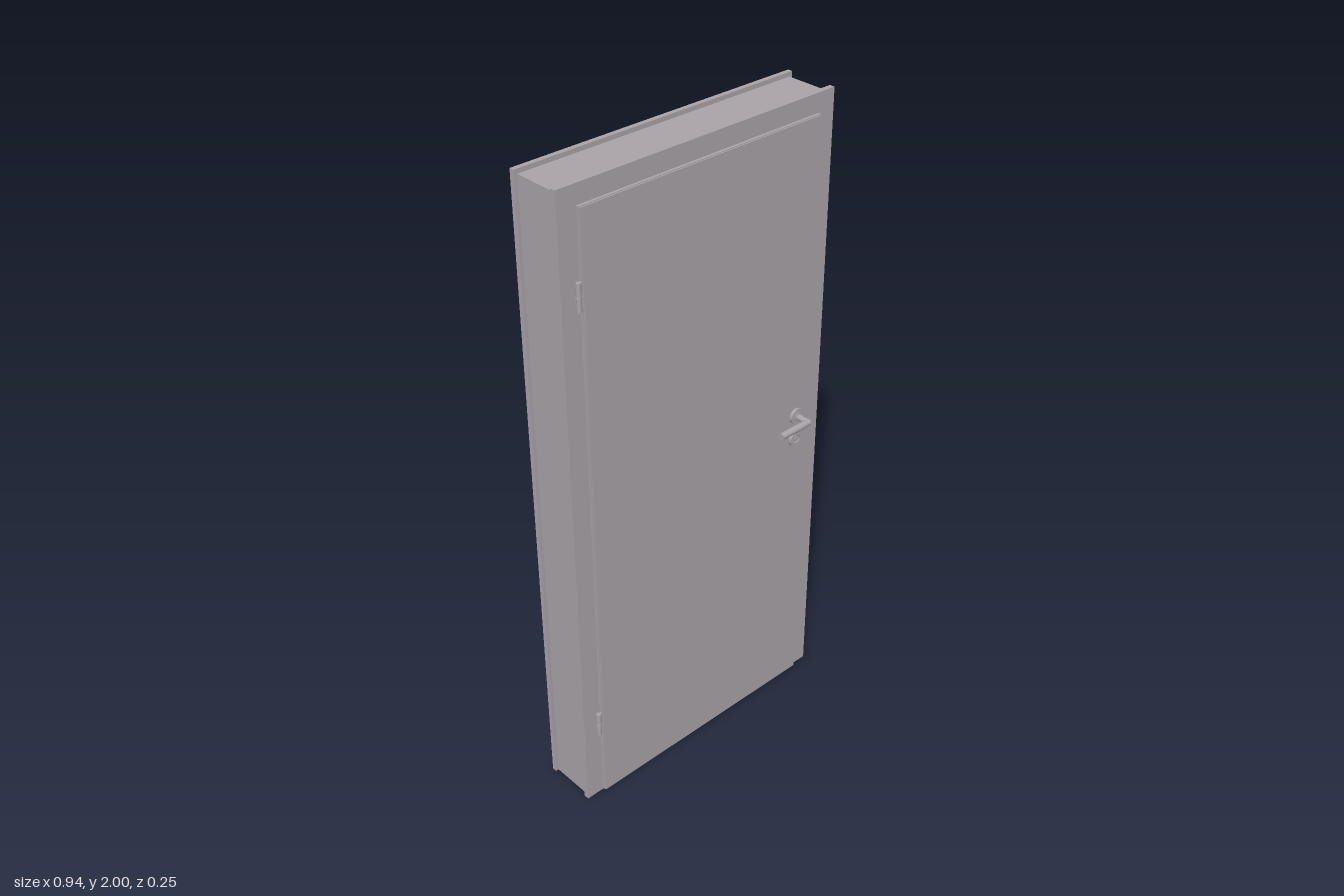
import * as THREE from 'three';

const grey = new THREE.MeshStandardMaterial({ color: 0xaaa3a7 });
grey.name = 'warm grey';

function add(parent, name, geometry, x = 0, y = 0, z = 0) {
  const mesh = new THREE.Mesh(geometry, grey);
  mesh.name = name;
  mesh.position.set(x, y, z);
  parent.add(mesh);
  return mesh;
}

// U-shaped slab (two posts and a head), open at the floor
function archSlab(xo, yo, xi, yi, z0, z1) {
  const s = new THREE.Shape([
    [-xo, 0], [-xi, 0], [-xi, yi], [xi, yi], [xi, 0], [xo, 0], [xo, yo], [-xo, yo],
  ].map(([x, y]) => new THREE.Vector2(x, y)));
  return new THREE.ExtrudeGeometry(s, { depth: z1 - z0, bevelEnabled: false }).translate(0, 0, z0);
}

function slab(x0, x1, y0, y1, z0, z1) {
  return new THREE.BoxGeometry(x1 - x0, y1 - y0, z1 - z0)
    .translate((x0 + x1) / 2, (y0 + y1) / 2, (z0 + z1) / 2);
}

// Cylinder along z, from z0 to z1
function rod(r, z0, z1) {
  return new THREE.CylinderGeometry(r, r, z1 - z0, 32).rotateX(Math.PI / 2).translate(0, 0, (z0 + z1) / 2);
}

// Lever and key rosettes for one face, with that face at z = 0 and pointing to +z
function makeFittings(name) {
  const g = new THREE.Group();
  g.name = name;
  const x = 0.36, y = 1.025, reach = 0.052;
  add(g, 'leverRosette', rod(0.025, 0, 0.01), x, y);
  add(g, 'leverCollar', rod(0.015, 0.01, 0.013), x, y);
  add(g, 'leverNeck', rod(0.0095, 0.01, reach), x, y);
  add(g, 'leverElbow', new THREE.SphereGeometry(0.0095, 24, 16), x, y, reach);
  add(g, 'leverShank', new THREE.CylinderGeometry(0.0095, 0.0095, 0.03, 32).rotateZ(Math.PI / 2), x - 0.012, y, reach);
  add(g, 'leverGrip', new THREE.CylinderGeometry(0.011, 0.011, 0.09, 32).rotateZ(Math.PI / 2), 0.293, y, reach);

  // Key rosette: ring around a recessed lock cylinder
  const ring = new THREE.Shape().absarc(0, 0, 0.025, 0, Math.PI * 2);
  ring.holes.push(new THREE.Path().absarc(0, 0, 0.012, 0, Math.PI * 2, true));
  add(g, 'keyRosette', new THREE.ExtrudeGeometry(ring, { depth: 0.01, bevelEnabled: false, curveSegments: 24 }), x, 0.945);
  add(g, 'lockCylinder', rod(0.008, 0, 0.009), x, 0.945);
  add(g, 'keySlot', new THREE.BoxGeometry(0.002, 0.009, 0.002), x, 0.945, 0.0095);
  return g;
}

export function createModel() {
  const model = new THREE.Group();
  model.name = 'door';

  // Frame: two face trims, a lining between them and a rebate for the leaf
  const frame = new THREE.Group();
  frame.name = 'frame';
  model.add(frame);
  add(frame, 'frontTrim', archSlab(0.47, 2, 0.405, 1.937, 0.028, 0.045));
  add(frame, 'backTrim', archSlab(0.47, 2, 0.4, 1.93, -0.125, -0.11));
  add(frame, 'lining', archSlab(0.46, 1.987, 0.4, 1.93, -0.11, 0.014));
  add(frame, 'rebate', archSlab(0.46, 1.987, 0.405, 1.937, 0.014, 0.028));

  // Leaf: core inside the frame and a lip overlapping the trim
  const leaf = new THREE.Group();
  leaf.name = 'leaf';
  model.add(leaf);
  add(leaf, 'leafCore', slab(-0.402, 0.402, 0.007, 1.933, 0.018, 0.047));
  add(leaf, 'leafLip', slab(-0.412, 0.41, 0.007, 1.945, 0.047, 0.056));
  add(leaf, 'leafFace', slab(-0.41, 0.408, 0.009, 1.943, 0.056, 0.06));

  // Handles on both faces
  const front = makeFittings('frontFittings');
  front.position.z = 0.06;
  const back = makeFittings('backFittings');
  back.scale.z = -1;
  back.position.z = 0.018;
  model.add(front, back);

  // Hinges: two knuckles on a pin, with a plate on the leaf
  for (const y of [0.29, 1.71]) {
    const hinge = new THREE.Group();
    hinge.name = 'hinge';
    hinge.position.set(-0.424, y, 0.057);
    model.add(hinge);
    for (const s of [-1, 1]) {
      add(hinge, 'knuckle', new THREE.CylinderGeometry(0.007, 0.007, 0.039, 24), 0, s * 0.0205, 0);
    }
    add(hinge, 'pin', new THREE.CylinderGeometry(0.005, 0.005, 0.07, 16));
    add(hinge, 'leafPlate', new THREE.BoxGeometry(0.016, 0.036, 0.004), 0.008, 0.0205, -0.003);
    add(hinge, 'framePlate', new THREE.BoxGeometry(0.004, 0.036, 0.014), 0, -0.0205, -0.007);
  }
  return model;
}
